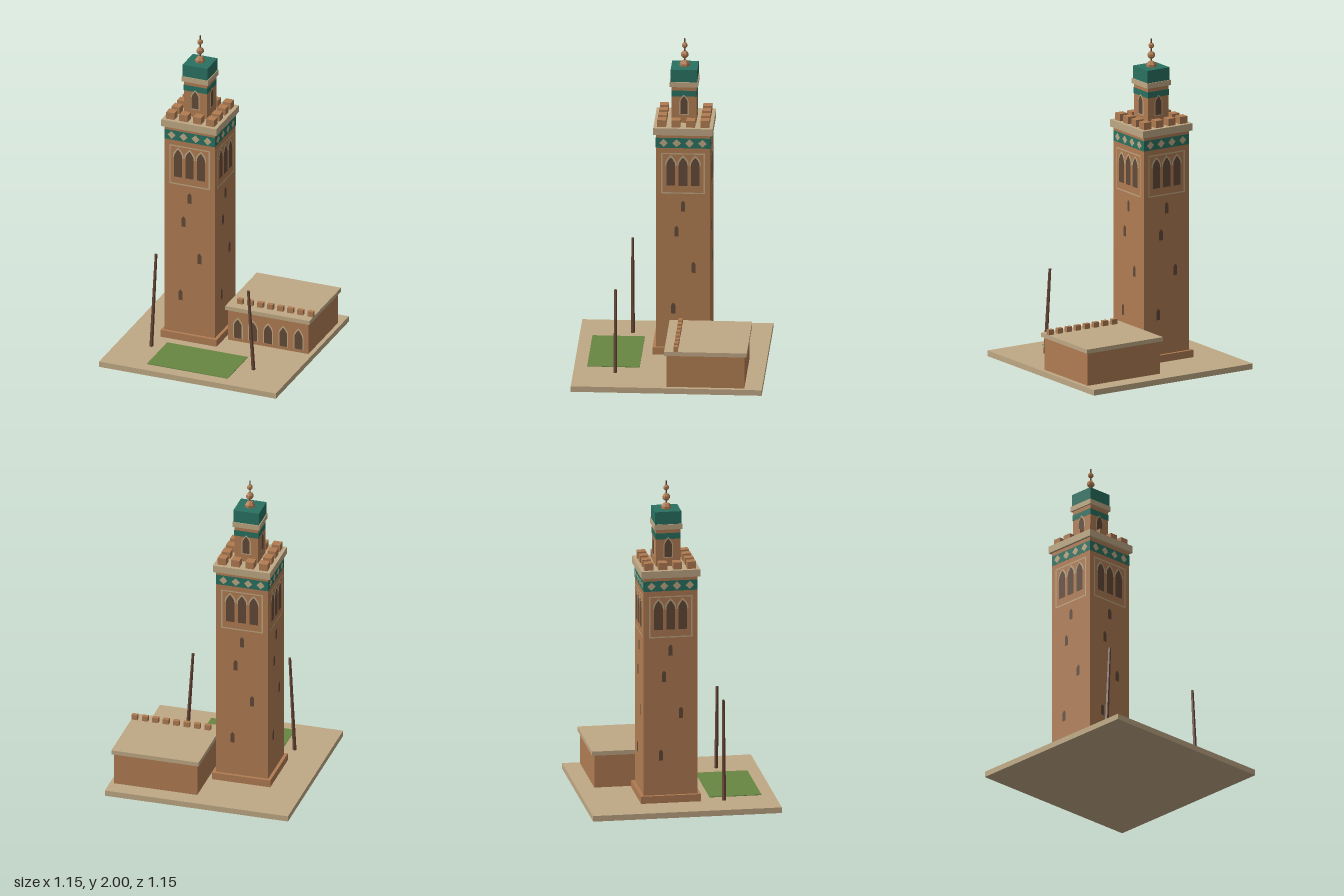
import * as THREE from 'three';

const mat = (name, color) => {
  const m = new THREE.MeshStandardMaterial({ color, flatShading: true });
  m.name = name;
  return m;
};

export function createModel() {
  const brick = mat('brick', 0xb07c52);
  const sand = mat('sandstone', 0xbfa884);
  const teal = mat('teal tile', 0x297161);
  const dark = mat('dark opening', 0x624a38);
  const grass = mat('grass', 0x678743);
  const bark = mat('bark', 0x6a4838);

  const model = new THREE.Group();
  model.name = 'towerAndHall';

  const add = (parent, name, geometry, material, x = 0, y = 0, z = 0) => {
    const mesh = new THREE.Mesh(geometry, material);
    mesh.name = name;
    mesh.position.set(x, y, z);
    parent.add(mesh);
    return mesh;
  };
  // Box given by its bottom and top heights
  const block = (parent, name, material, w, d, y0, y1, x = 0, z = 0) =>
    add(parent, name, new THREE.BoxGeometry(w, y1 - y0, d), material, x, (y0 + y1) / 2, z);
  // Flat painted face just in front of a wall
  const plate = (parent, name, material, shape, x, y, z) =>
    add(parent, name, new THREE.ShapeGeometry(shape, 5), material, x, y, z);

  // Pointed arch standing on y = 0
  const arch = (w, h, spring) => {
    const s = new THREE.Shape();
    const bend = spring + (h - spring) * 0.42;
    s.moveTo(-w / 2, 0);
    s.lineTo(w / 2, 0);
    s.lineTo(w / 2, spring);
    s.quadraticCurveTo(w / 2, bend, 0, h);
    s.quadraticCurveTo(-w / 2, bend, -w / 2, spring);
    s.closePath();
    return s;
  };
  const rect = (Type, w, h) => {
    const s = new Type();
    s.moveTo(-w / 2, -h / 2);
    s.lineTo(w / 2, -h / 2);
    s.lineTo(w / 2, h / 2);
    s.lineTo(-w / 2, h / 2);
    s.closePath();
    return s;
  };

  // Ground
  block(model, 'base', sand, 1.15, 1.15, 0, 0.035);
  block(model, 'lawn', grass, 0.525, 0.316, 0.035, 0.039, -0.0325, 0.339);

  // Tower body
  const tower = new THREE.Group();
  tower.name = 'tower';
  tower.position.set(-0.1825, 0, -0.0655);
  model.add(tower);
  block(tower, 'plinth', brick, 0.366, 0.366, 0.035, 0.08);
  block(tower, 'shaft', brick, 0.327, 0.327, 0.08, 1.442);
  block(tower, 'tileBand', teal, 0.329, 0.329, 1.356, 1.42);
  block(tower, 'cornice', sand, 0.358, 0.358, 1.442, 1.486);
  const steps = [-0.13, -0.0445, 0.0445, 0.13];
  steps.forEach((x, i) => steps.forEach((z, j) => {
    if (i % 3 === 0 || j % 3 === 0) block(tower, 'merlon', brick, 0.053, 0.053, 1.486, 1.53, x, z);
  }));

  // Lantern on top of the tower
  block(tower, 'lanternShaft', brick, 0.149, 0.149, 1.486, 1.717);
  block(tower, 'lanternBand', teal, 0.152, 0.152, 1.655, 1.692);
  block(tower, 'lanternCornice', sand, 0.17, 0.17, 1.717, 1.749);
  block(tower, 'lanternRoof', teal, 0.16, 0.16, 1.749, 1.827);

  // Finial
  add(tower, 'finialRod', new THREE.CylinderGeometry(0.004, 0.004, 0.173, 6), bark, 0, 1.9135, 0);
  [[1.832, 0.032], [1.898, 0.024], [1.957, 0.018]].forEach(([y, r]) => {
    const ball = add(tower, 'finialBall', new THREE.SphereGeometry(r, 6, 5), brick, 0, y, 0);
    ball.rotation.y = Math.PI / 6;
  });

  // Decoration repeated on the four tower faces
  const frame = rect(THREE.Shape, 0.264, 0.26);
  frame.holes.push(rect(THREE.Path, 0.248, 0.244));
  const diamond = new THREE.Shape();
  diamond.moveTo(0, -0.026);
  diamond.lineTo(0.026, 0);
  diamond.lineTo(0, 0.026);
  diamond.lineTo(-0.026, 0);
  diamond.closePath();
  for (let k = 0; k < 4; k++) {
    const face = new THREE.Group();
    face.name = 'towerFace';
    face.rotation.y = k * Math.PI / 2;
    tower.add(face);
    plate(face, 'panelFrame', sand, frame, 0, 1.194, 0.165);
    for (const x of [-0.074, 0, 0.074]) {
      plate(face, 'archHood', sand, arch(0.068, 0.068, 0.014), x, 1.242, 0.165);
      plate(face, 'archOpening', dark, arch(0.052, 0.182, 0.134), x, 1.115, 0.1665);
    }
    for (const x of [-0.117, -0.039, 0.039, 0.117])
      plate(face, 'diamondTile', sand, diamond, x, 1.388, 0.166);
    for (const [x, y] of [[0, 0.95], [-0.04, 0.788], [0.063, 0.558], [-0.059, 0.295]])
      plate(face, 'slitWindow', dark, arch(0.026, 0.07, 0.05), x, y, 0.165);
    plate(face, 'lanternWindowFrame', sand, arch(0.058, 0.13, 0.08), 0, 1.538, 0.077);
    plate(face, 'lanternWindow', dark, arch(0.044, 0.114, 0.074), 0, 1.544, 0.0785);
  }

  // Low hall with arcade
  const hall = new THREE.Group();
  hall.name = 'hall';
  hall.position.set(0.2875, 0, -0.235);
  model.add(hall);
  block(hall, 'hallWalls', brick, 0.522, 0.468, 0.035, 0.238);
  block(hall, 'hallRoof', sand, 0.548, 0.498, 0.238, 0.264);
  for (let i = 0; i < 8; i++)
    block(hall, 'hallMerlon', brick, 0.037, 0.026, 0.264, 0.296, -0.2035 + i * 0.0655, 0.179);
  for (let i = 0; i < 5; i++) {
    const x = (i - 2) * 0.0985;
    plate(hall, 'hallArchFrame', sand, arch(0.064, 0.14, 0.085), x, 0.055, 0.2355);
    plate(hall, 'hallArch', dark, arch(0.051, 0.125, 0.078), x, 0.057, 0.237);
  }

  // Leaning bare trunks
  const trunk = (x0, x1, z, top) => {
    const h = top - 0.035;
    const g = new THREE.CylinderGeometry(0.009, 0.0125, h, 5).rotateY(Math.PI);
    const m = add(model, 'trunk', g, bark, (x0 + x1) / 2, 0.035 + h / 2, z);
    m.rotation.z = -Math.atan2(x1 - x0, h);
  };
  trunk(-0.367, -0.336, 0.258, 0.655);
  trunk(0.324, 0.291, 0.323, 0.556);

  return model;
}
